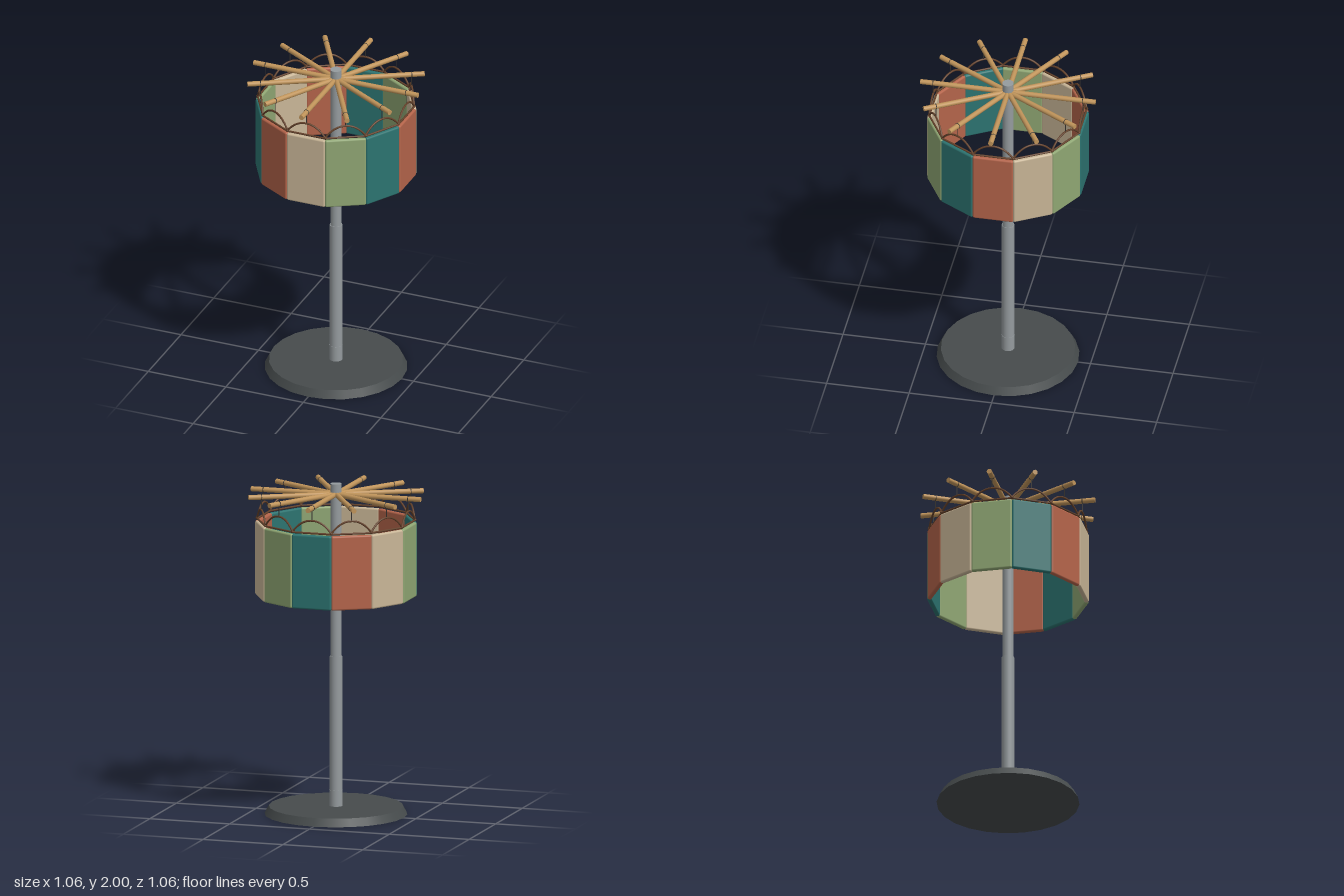
import * as THREE from 'three';
import { RoundedBoxGeometry } from 'three/addons/geometries/RoundedBoxGeometry.js';

const paint = (name, color) => {
  const m = new THREE.MeshStandardMaterial({ color });
  m.name = name;
  return m;
};

export function createModel() {
  const steel = paint('brushed steel', 0x959b9e);
  const iron = paint('dark iron', 0x464b4c);
  const wood = paint('light wood', 0xc0945a);
  const rope = paint('brown cord', 0x64412a);
  const wire = paint('dark wire', 0x37332f);
  const fabrics = [
    paint('beige fabric', 0xc8b596),
    paint('green fabric', 0x8fa673),
    paint('teal fabric', 0x2c7370),
    paint('terracotta fabric', 0xb4644a),
  ];

  const root = new THREE.Group();
  root.name = 'panelLampStand';
  const add = (parent, name, geometry, material, x = 0, y = 0, z = 0) => {
    const mesh = new THREE.Mesh(geometry, material);
    mesh.name = name;
    mesh.position.set(x, y, z);
    parent.add(mesh);
    return mesh;
  };

  // Bevelled foot and stepped pole
  add(root, 'base', new THREE.CylinderGeometry(0.4, 0.425, 0.048, 24), iron, 0, 0.024, 0);
  add(root, 'poleCollar', new THREE.CylinderGeometry(0.039, 0.039, 0.1, 20), steel, 0, 0.095, 0);
  add(root, 'lowerPole', new THREE.CylinderGeometry(0.0375, 0.0375, 0.91, 20), steel, 0, 0.5, 0);
  add(root, 'upperPole', new THREE.CylinderGeometry(0.034, 0.034, 1.06, 20), steel, 0, 1.47, 0);

  // Shared pieces of the twelve-sided shade
  const ringRadius = 0.453, half = 0.122;
  const panelGeo = new RoundedBoxGeometry(0.246, 0.45, 0.028, 3, 0.011);
  const beamGeo = new THREE.CylinderGeometry(0.0155, 0.0155, 0.53, 14);
  beamGeo.rotateX(Math.PI / 2);
  const railGeo = new THREE.CylinderGeometry(0.006, 0.006, 0.246, 8);
  railGeo.rotateZ(Math.PI / 2);
  const archPoints = [];
  for (let i = 0; i <= 12; i++) {
    const t = (i / 12) * 2 - 1;
    archPoints.push(new THREE.Vector3(t * half, 1.787 + 0.072 * (1 - Math.abs(t) ** 2.2), 0));
  }
  const archGeo = new THREE.TubeGeometry(new THREE.CatmullRomCurve3(archPoints), 28, 0.006, 8);
  const knotGeo = new THREE.SphereGeometry(0.0095, 10, 8);
  const wireGeo = new THREE.CylinderGeometry(0.003, 0.003, 0.075, 6);
  const loopGeo = new THREE.TorusGeometry(0.0155, 0.0025, 6, 16);

  // Each bay carries one panel, its corded arch, and a beam above
  for (let i = 0; i < 12; i++) {
    const bay = new THREE.Group();
    bay.name = 'bay' + (i + 1);
    bay.rotation.y = (i * Math.PI) / 6;
    root.add(bay);
    add(bay, 'shadePanel', panelGeo, fabrics[i % 4], 0, 1.547, ringRadius);
    add(bay, 'cordRail', railGeo, rope, 0, 1.783, ringRadius);
    add(bay, 'cordArch', archGeo, rope, 0, 0, ringRadius);
    add(bay, 'cornerKnot', knotGeo, rope, half, 1.786, ringRadius);
    add(bay, 'hangingWire', wireGeo, wire, 0, 1.8975, ringRadius);
    add(bay, 'wireLoop', loopGeo, wire, 0, 1.935, ringRadius);
    add(bay, 'roofBeam', beamGeo, wood, 0, 1.935, 0.265);
  }
  return root;
}
